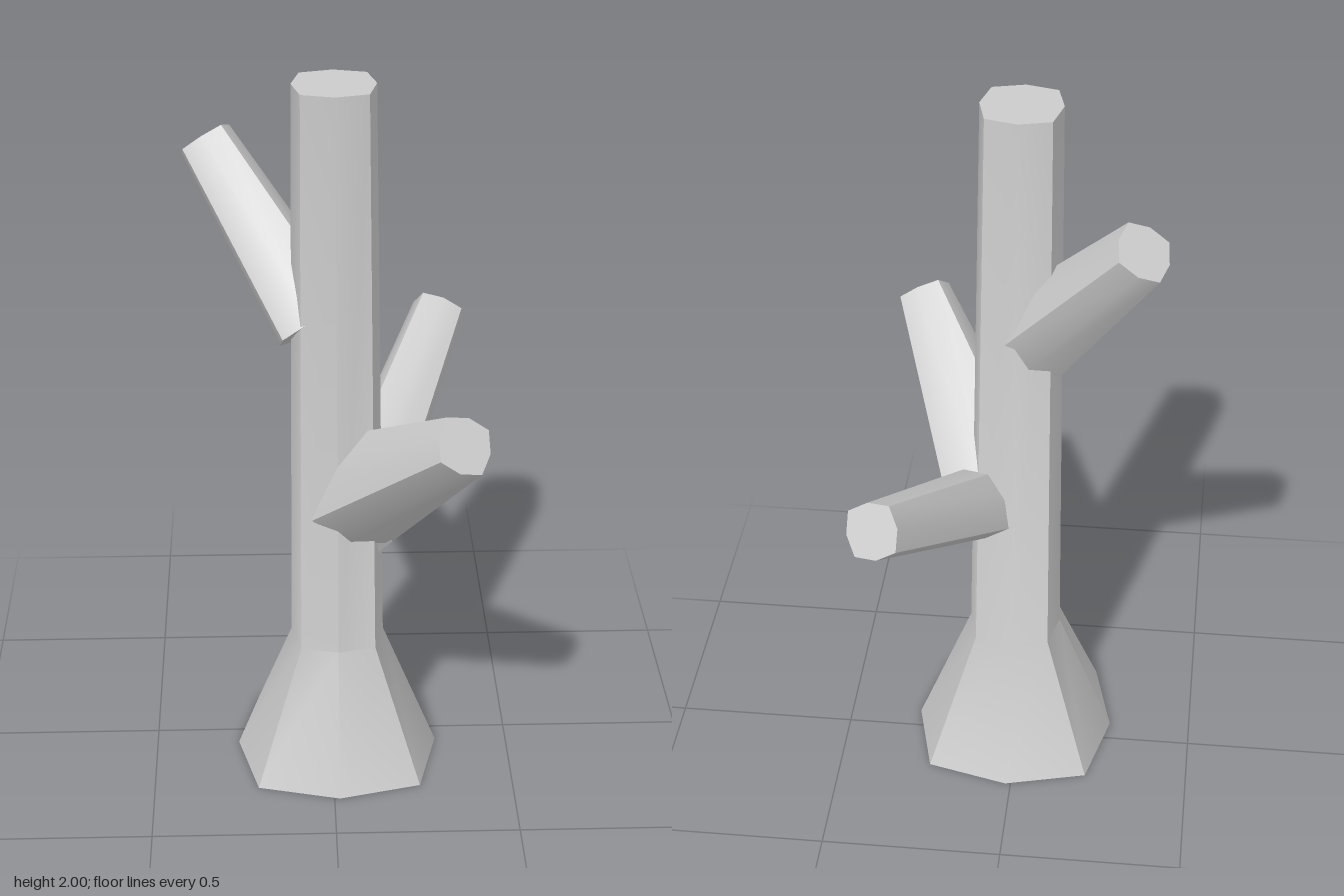
import * as THREE from 'three';
import { toCreasedNormals } from 'three/addons/utils/BufferGeometryUtils.js';

const material = new THREE.MeshStandardMaterial({ color: 0xcccccc });
const UP = new THREE.Vector3(0, 1, 0);

// Capped, squarish eight-sided limb through rings [x, y, z, radius], bottom to top.
// Each ring lies square to the given direction.
function limb(name, rings, direction) {
  const last = rings.length - 1;
  const geometry = new THREE.CylinderGeometry(1, 1, 1, 8, last);
  const turn = new THREE.Quaternion().setFromUnitVectors(UP, direction.clone().normalize());
  const pos = geometry.attributes.position;
  const p = new THREE.Vector3();
  for (let i = 0; i < pos.count; i++) {
    p.fromBufferAttribute(pos, i);
    const [x, y, z, radius] = rings[Math.round((p.y + 0.5) * last)];
    const diagonal = Math.abs(p.x * p.z) > 0.1;
    p.y = 0;
    p.multiplyScalar(radius * (diagonal ? 1.13 : 1)).applyQuaternion(turn);
    pos.setXYZ(i, p.x + x, p.y + y, p.z + z);
  }
  // Only the four squarish pairs of sides and the ends stay sharp
  const mesh = new THREE.Mesh(toCreasedNormals(geometry, 0.6), material);
  mesh.name = name;
  return mesh;
}

// Tapered branch, its root buried in the trunk
function branch(name, root, tip) {
  const direction = new THREE.Vector3(tip[0] - root[0], tip[1] - root[1], tip[2] - root[2]);
  return limb(name, [root, tip], direction);
}

export function createModel() {
  const group = new THREE.Group();
  group.name = 'bareTree';
  group.add(
    // Flared foot and slightly leaning trunk
    limb('trunk', [
      [0.015, 0, 0.062, 0.282],
      [0.015, 0.385, 0.07, 0.128],
      [0.003, 2, 0.127, 0.107],
    ], UP),
    branch('upperRightBranch', [-0.04, 1.34, 0.1, 0.115], [-0.325, 1.757, -0.148, 0.074]),
    branch('frontLeftBranch', [0.07, 0.835, 0.09, 0.148], [0.317, 1.187, 0.51, 0.074]),
    branch('backLeftBranch', [0.06, 0.757, 0.15, 0.108], [0.32, 1.103, -0.485, 0.074]),
  );
  return group;
}
